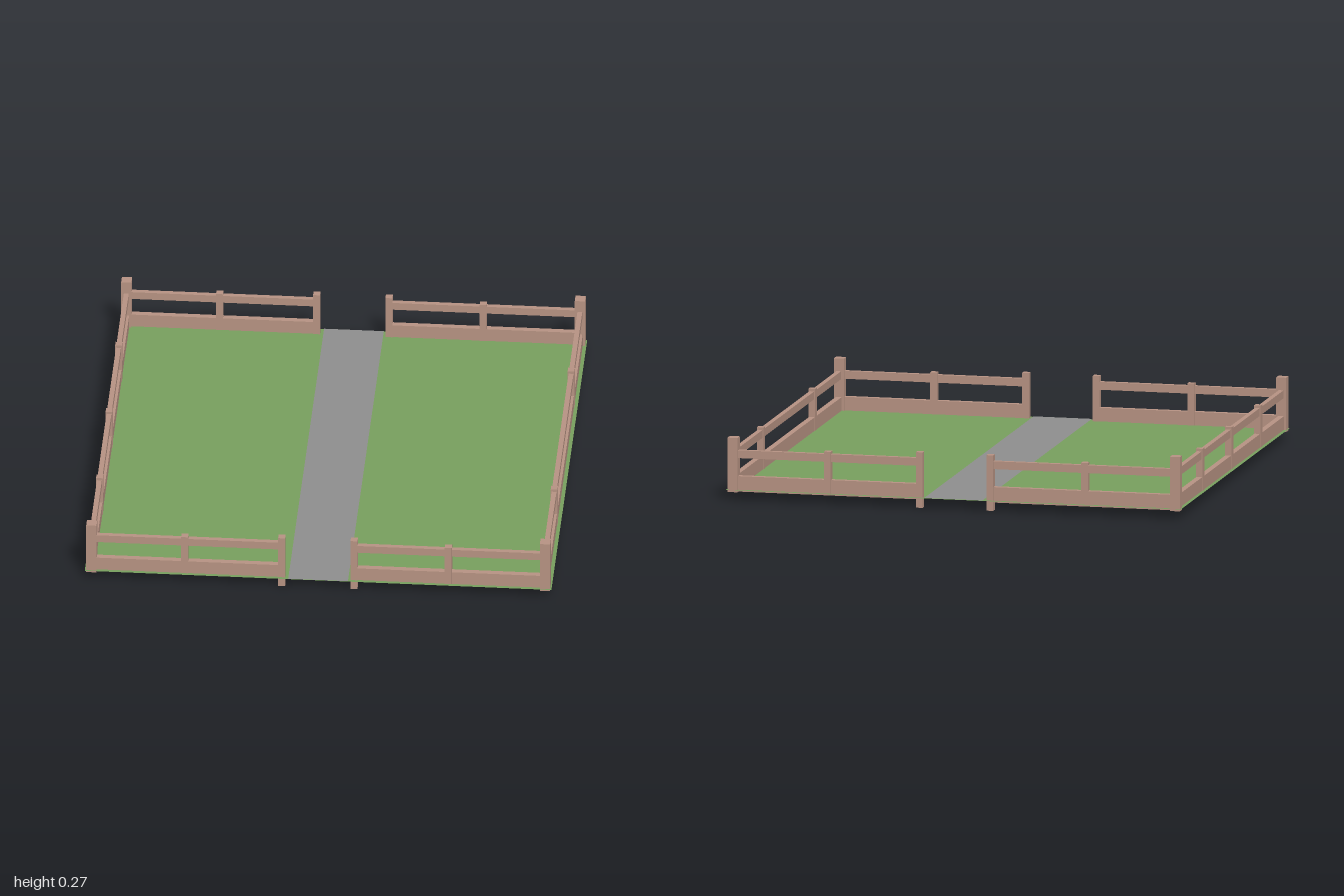
import * as THREE from 'three';

const wood = new THREE.MeshStandardMaterial({ name: 'wood', color: 0xb79383 });
const grass = new THREE.MeshStandardMaterial({ name: 'grass', color: 0x789f5e, side: THREE.DoubleSide });
const paving = new THREE.MeshStandardMaterial({ name: 'paving', color: 0x8e8e8e });

const EDGE = 0.972; // distance of the fence line from the centre
const GROUND = 0.044;

// Box given by its centre in plan and its bottom and top heights
function block(name, x, z, w, d, y0, y1) {
  const mesh = new THREE.Mesh(new THREE.BoxGeometry(w, y1 - y0, d), wood);
  mesh.position.set(x, (y0 + y1) / 2, z);
  mesh.name = name;
  return mesh;
}

function flat(name, w, d, y, material) {
  const mesh = new THREE.Mesh(new THREE.PlaneGeometry(w, d).rotateX(-Math.PI / 2), material);
  mesh.position.y = y;
  mesh.name = name;
  return mesh;
}

// Fence run from a to b along x or z, with slim posts at the given stations
function fence(name, axis, line, a, b, posts) {
  const run = new THREE.Group();
  run.name = name;
  const along = axis === 'x';
  const part = (label, at, length, depth, y0, y1) => run.add(along
    ? block(label, at, line, length, depth, y0, y1)
    : block(label, line, at, depth, length, y0, y1));
  const mid = (a + b) / 2, length = Math.abs(b - a);
  part('lowerBoard', mid, length, 0.025, 0.036, 0.103);
  part('upperRail', mid, length, 0.021, 0.181, 0.215);
  for (const p of posts) part('slimPost', p, 0.03, 0.029, 0.037, 0.226);
  return run;
}

export function createModel() {
  const model = new THREE.Group();
  model.name = 'fencedField';

  // Ground and the path across it
  model.add(flat('lawn', 2, 2, GROUND, grass));
  model.add(flat('path', 0.256, 2, GROUND + 0.002, paving));

  // Front and back fences, each with a gap for the path
  for (const s of [1, -1]) {
    const side = s > 0 ? 'front' : 'back';
    const z = s * EDGE;
    model.add(fence(side + 'RightFence', 'x', z, -EDGE, -0.157, [-0.573]));
    model.add(fence(side + 'LeftFence', 'x', z, 0.153, EDGE, [0.557]));
    for (const x of [-0.157, 0.153]) model.add(block('gatePost', x, z, 0.03, 0.03, 0, 0.241));
    for (const x of [-EDGE, EDGE]) model.add(block('cornerPost', x, z, 0.044, 0.044, 0.034, 0.27));
  }

  // Side fences
  model.add(fence('rightFence', 'z', -EDGE, -EDGE, EDGE, [-0.53, 0, 0.53]));
  model.add(fence('leftFence', 'z', EDGE, -EDGE, EDGE, [-0.472, 0.472]));
  return model;
}
